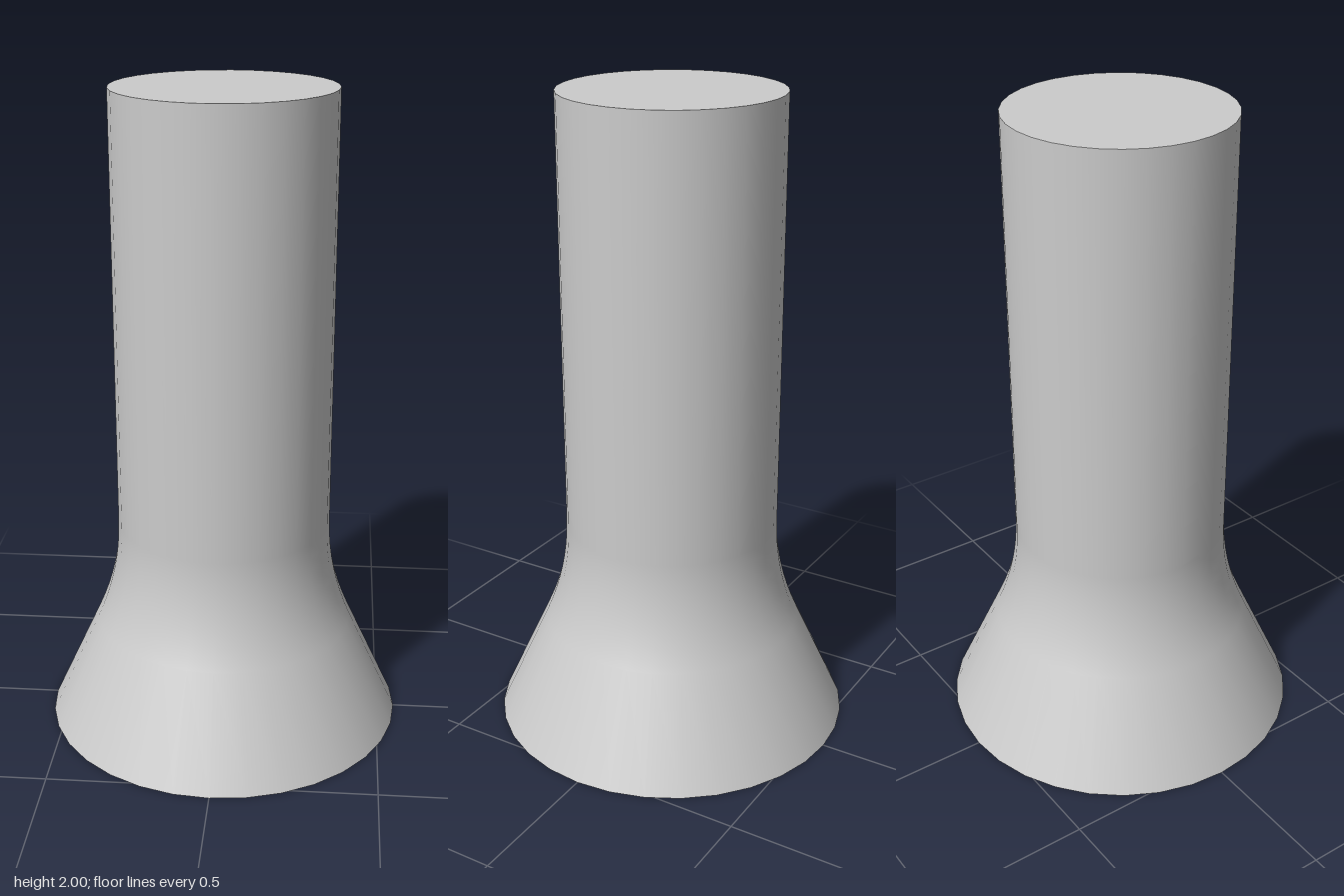
import * as THREE from 'three';

const SIDES = 32;
const TOP_RADIUS = 0.332, BASE_RADIUS = 0.557, HEIGHT = 2;

export function createModel() {
  const group = new THREE.Group();
  group.name = 'flaredColumn';
  const material = new THREE.MeshStandardMaterial({ color: 0xcccccc });

  const add = (name, geometry) => {
    const mesh = new THREE.Mesh(geometry, material);
    mesh.name = name;
    group.add(mesh);
    return mesh;
  };

  // Wall profile: straight cone, fillet arc, then a straight shaft
  const profile = [new THREE.Vector2(BASE_RADIUS, 0)];
  const bend = THREE.MathUtils.degToRad(24.8), filletRadius = 0.78, filletTop = 0.66, steps = 8;
  for (let i = 0; i <= steps; i++) {
    const a = bend * (1 - i / steps);
    profile.push(new THREE.Vector2(
      TOP_RADIUS + filletRadius * (1 - Math.cos(a)),
      filletTop - filletRadius * Math.sin(a)
    ));
  }
  profile.push(new THREE.Vector2(TOP_RADIUS, HEIGHT));
  add('flaredShaft', new THREE.LatheGeometry(profile, SIDES));

  // Flat end caps
  const topCap = add('topCap', new THREE.CircleGeometry(TOP_RADIUS, SIDES).rotateX(-Math.PI / 2));
  topCap.position.y = HEIGHT;
  add('baseCap', new THREE.CircleGeometry(BASE_RADIUS, SIDES).rotateX(Math.PI / 2));

  return group;
}
